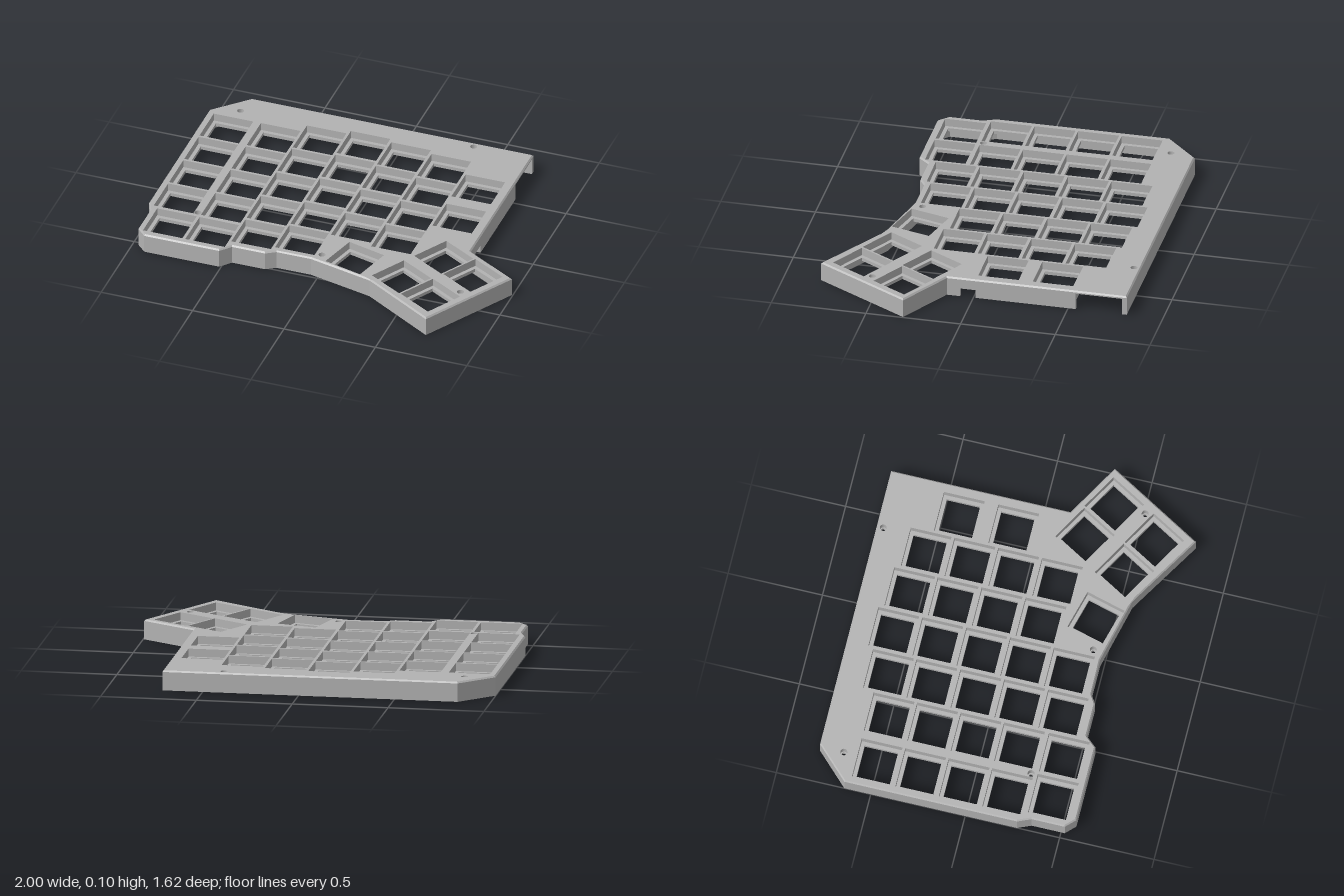
import * as THREE from 'three';

const V = (x, z) => new THREE.Vector2(x, z);

// Case footprint as (x, z) points
const outline = [
  [-1, -0.64], [-0.83, -0.81], [0.71, -0.81], [0.71, 0.14], [0.995, 0.305], [0.705, 0.805],
  [0.31, 0.565], [-0.04, 0.48], [-0.23, 0.48], [-0.28, 0.512], [-0.46, 0.512], [-0.51, 0.57],
  [-0.92, 0.57], [-0.97, 0.52], [-0.97, 0.345], [-1, 0.275],
].map(([x, z]) => V(x, z));

// Footprint with a recess for the rear connector bay on the right side
const notched = [
  ...outline.slice(0, 3), V(0.71, -0.785), V(0.44, -0.785), V(0.44, -0.54), V(0.71, -0.54),
  ...outline.slice(3),
];

// Key columns: x, then the z of each key
const columns = [
  [-0.858, -0.5, -0.27, -0.04, 0.19],
  [-0.6, -0.5, -0.27, -0.04, 0.19, 0.428],
  [-0.37, -0.56, -0.33, -0.097, 0.135, 0.368],
  [-0.14, -0.588, -0.355, -0.122, 0.11, 0.342],
  [0.091, -0.56, -0.33, -0.097, 0.135],
  [0.322, -0.53, -0.298, -0.066, 0.166],
  [0.552, -0.41, -0.122],
];
const keys = columns.flatMap(([x, ...zs]) => zs.map((z) => [x, z, 0]));
keys.push([-0.832, 0.426, 0], [0.172, 0.406, 15]);
keys.push([0.6, 0.243, 30], [0.798, 0.35, 30], [0.457, 0.487, 30], [0.655, 0.597, 30]);

const screws = [[-0.845, -0.68], [0.395, -0.775], [-0.73, 0.283], [0.003, 0.433], [0.79, 0.515]];

// Move a counter-clockwise polygon inward by d
function inset(points, d) {
  const n = points.length;
  return points.map((p, i) => {
    const a = p.clone().sub(points[(i + n - 1) % n]).normalize();
    const b = points[(i + 1) % n].clone().sub(p).normalize();
    const na = V(-a.y, a.x);
    const nb = V(-b.y, b.x);
    const m = na.clone().add(nb);
    return p.clone().addScaledVector(m, d / (1 + na.dot(nb)));
  });
}

function squareHole([x, z, degrees], size) {
  const h = size / 2;
  const angle = THREE.MathUtils.degToRad(degrees);
  const corners = [[-h, -h], [-h, h], [h, h], [h, -h]].map(([a, b]) =>
    V(a, b).rotateAround(V(0, 0), angle).add(V(x, z)));
  return new THREE.Path(corners);
}

function roundHole([x, z], radius) {
  return new THREE.Path().absarc(x, z, radius, 0, Math.PI * 2, true);
}

// Horizontal slab between two heights
function slab(points, holes, bottom, top) {
  const shape = new THREE.Shape(points);
  shape.holes = holes;
  const geometry = new THREE.ExtrudeGeometry(shape, {
    depth: top - bottom, bevelEnabled: false, curveSegments: 10,
  });
  return geometry.rotateX(Math.PI / 2).translate(0, top, 0);
}

// Pull the upper rim of a slab inward to form a chamfer
function chamferTop(geometry, points, top, d) {
  const inner = inset(points, d);
  const pos = geometry.attributes.position;
  for (let i = 0; i < pos.count; i++) {
    if (Math.abs(pos.getY(i) - top) > 1e-4) continue;
    const at = V(pos.getX(i), pos.getZ(i));
    const k = points.findIndex((p) => p.distanceTo(at) < 1e-4);
    if (k >= 0) pos.setXYZ(i, inner[k].x, top, inner[k].y);
  }
  geometry.computeVertexNormals();
  return geometry;
}

export function createModel() {
  const group = new THREE.Group();
  group.name = 'keyboardCase';
  const grey = new THREE.MeshStandardMaterial({ color: 0xb2b2b2 });
  grey.name = 'caseGrey';

  const add = (name, geometry) => {
    const mesh = new THREE.Mesh(geometry, grey);
    mesh.name = name;
    group.add(mesh);
  };
  const holes = (keySize, screwRadius) => [
    ...keys.map((k) => squareHole(k, keySize)),
    ...screws.map((s) => roundHole(s, screwRadius)),
  ];

  const floorBottom = 0.045;
  const floorTop = 0.063;
  const bayTop = 0.09;
  const chamferStart = 0.097;
  const caseTop = 0.105;

  // Skirt wall, open at the connector bay and at the cable slot
  const inner = inset(outline, 0.025);
  const skirt = [
    V(0.71, 0.07), ...outline.slice(3), ...outline.slice(0, 3), V(0.71, -0.785),
    ...inner.slice(0, 3).reverse(), ...inner.slice(3).reverse(), V(0.685, 0.07),
  ];
  add('skirtWall', slab(skirt, [], 0, floorBottom));
  const sideWall = [V(0.685, -0.54), V(0.71, -0.54), V(0.71, -0.01), V(0.685, -0.01)];
  add('sideWall', slab(sideWall, [], 0, floorBottom));

  // Switch plate with the small openings
  add('switchPlate', slab(notched, holes(0.176, 0.012), floorBottom, floorTop));

  // Key pockets above the plate
  add('pocketFrame', slab(notched, holes(0.216, 0.018), floorTop, bayTop));
  add('topFrame', slab(outline, holes(0.216, 0.018), bayTop, chamferStart));

  // Chamfered top surface
  const cap = slab(outline, holes(0.216, 0.018), chamferStart, caseTop);
  add('topSurface', chamferTop(cap, outline, caseTop, 0.007));

  return group;
}
